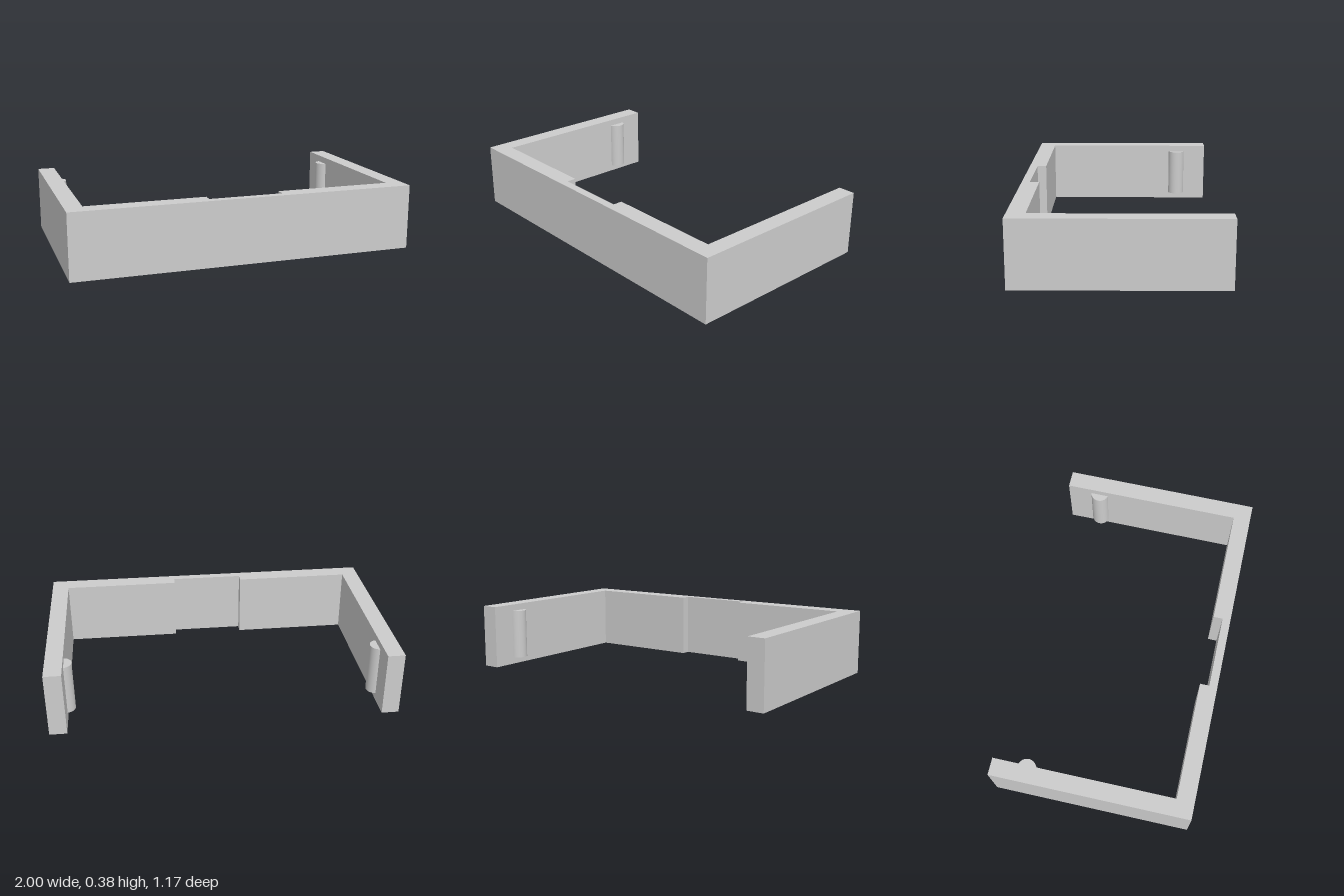
import * as THREE from 'three';

export function createModel() {
  const group = new THREE.Group();
  const grey = new THREE.MeshStandardMaterial({ color: 0xcccccc });
  grey.name = 'light grey';
  const height = 0.38;

  // U-shaped bracket with a shallow recess inside the front wall, as [x, z] plan points
  const half = [[0.215, 0.535], [0.215, 0.48], [0.9, 0.48], [0.9, -0.583], [1, -0.583], [1, 0.583]];
  const outline = [...half, ...half.map(([x, z]) => [-x, z]).reverse()];
  const plan = new THREE.Shape(outline.map(([x, z]) => new THREE.Vector2(x, -z)));
  const bracketGeometry = new THREE.ExtrudeGeometry(plan, { depth: height, bevelEnabled: false });
  bracketGeometry.rotateX(-Math.PI / 2);
  const bracket = new THREE.Mesh(bracketGeometry, grey);
  bracket.name = 'bracket';
  group.add(bracket);

  // Rounded clip ridges, partly sunk into the inner faces of both arms
  const ridgeGeometry = new THREE.CylinderGeometry(0.054, 0.054, 0.3, 48);
  for (const side of [-1, 1]) {
    const ridge = new THREE.Mesh(ridgeGeometry, grey);
    ridge.name = side > 0 ? 'leftRidge' : 'rightRidge';
    ridge.position.set(side * 0.909, height / 2, -0.385);
    group.add(ridge);
  }

  return group;
}
